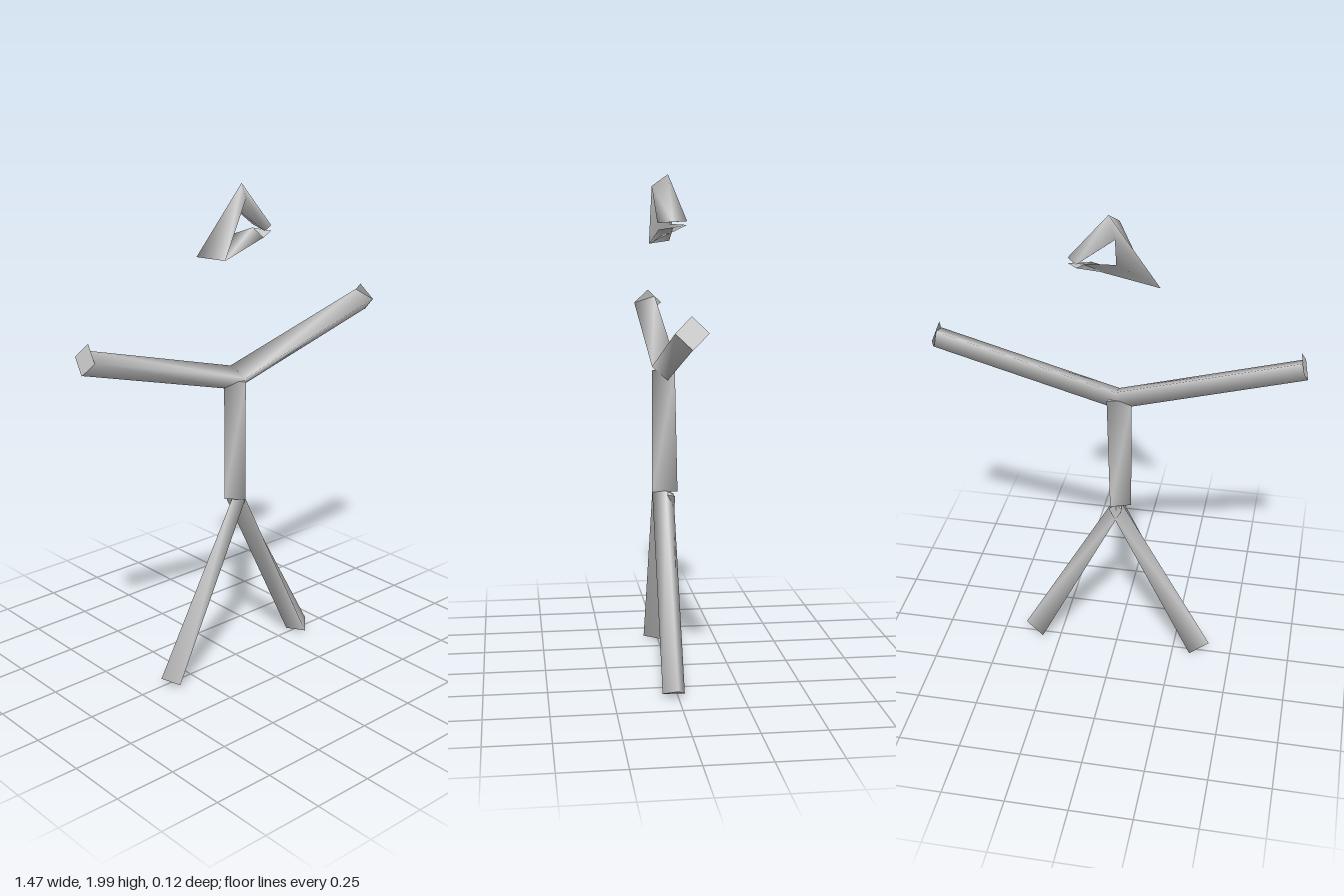
import * as THREE from 'three';

const grey = new THREE.MeshStandardMaterial({ color: 0xcccccc });
grey.name = 'light grey';
const greySheet = new THREE.MeshStandardMaterial({ color: 0xcccccc, side: THREE.DoubleSide });
greySheet.name = 'light grey sheet';

// Smooth three-sided bar through triangular rings, with flat end caps
function bar(name, rings) {
  const first = rings[0], last = rings[rings.length - 1];
  const points = [...rings.flat(), ...first, ...last];
  const index = [];
  for (let r = 0; r < rings.length - 1; r++) {
    for (let i = 0; i < 3; i++) {
      const a = r * 3 + i, b = r * 3 + (i + 1) % 3;
      index.push(a, b, a + 3, b, b + 3, a + 3);
    }
  }
  const c = rings.length * 3;
  index.push(c, c + 2, c + 1, c + 3, c + 4, c + 5);

  // Turn the faces outward, also for mirrored bars
  const v = points.map(p => new THREE.Vector3(...p));
  let volume = 0;
  for (let t = 0; t < index.length; t += 3) {
    volume += v[index[t]].dot(v[index[t + 1]].clone().cross(v[index[t + 2]]));
  }
  if (volume < 0) index.reverse();

  const geometry = new THREE.BufferGeometry().setFromPoints(v);
  geometry.setIndex(index);
  geometry.computeVertexNormals();
  const mesh = new THREE.Mesh(geometry, grey);
  mesh.name = name;
  return mesh;
}

export function createModel() {
  const figure = new THREE.Group();
  figure.name = 'stickFigure';

  // Torso, as [x, y, z] corners: front, left edge, back
  figure.add(bar('torso', [
    [[0, 0.737, 0.06], [-0.06, 0.737, 0], [0.02, 0.745, -0.04]],
    [[0, 1.235, 0.06], [-0.06, 1.235, 0], [0.035, 1.235, -0.027]],
  ]));

  for (const [side, s] of [['left', 1], ['right', -1]]) {
    // Arm: section is [offset across the arm, z], mitred at the shoulders
    const shoulder = 1.25, hand = [0.715, 1.45];
    const angle = Math.atan2(hand[1] - shoulder, hand[0]);
    const cos = Math.cos(angle), sin = Math.sin(angle);
    const armSection = [[0, 0.06], [-0.058, 0], [0.03, -0.031]];
    figure.add(bar(side + 'Arm', [
      armSection.map(([n, z]) => [0, shoulder + n / cos, z]),
      armSection.map(([n, z]) => [s * (hand[0] - n * sin), hand[1] + n * cos, z]),
    ]));

    // Square plate closing the arm
    const plate = new THREE.Mesh(new THREE.CircleGeometry(0.06, 4), greySheet);
    plate.name = side + 'HandPlate';
    plate.position.set(s * (hand[0] + 0.002 * cos), hand[1] + 0.002 * sin, 0);
    plate.lookAt(s * (hand[0] + cos), hand[1] + sin, 0);
    figure.add(plate);

    // Leg: narrow at the hip, wider at the foot
    const hip = [0, 0.74], foot = [0.353, 0.02];
    const lean = Math.atan2(foot[0], hip[1] - foot[1]);
    const ring = ([x, y], section) => section.map(([n, z]) =>
      [s * (x + n * Math.cos(lean)), y + n * Math.sin(lean), z]);
    figure.add(bar(side + 'Leg', [
      ring(hip, [[0, 0.06], [0.016, 0.005], [-0.03, -0.03]]),
      ring(foot, [[0, 0.06], [0.059, 0.005], [-0.03, -0.03]]),
    ]));
  }

  // Head: bent triangular loop with a small gap at its left corner
  figure.add(bar('head', [
    [[0.105, 1.815, 0.05], [0.185, 1.82, 0], [0.14, 1.822, -0.06]],
    [[0, 1.955, 0.06], [0.03, 2, 0], [0, 1.92, -0.035]],
    [[-0.105, 1.73, 0.06], [-0.17, 1.74, -0.03], [0, 1.81, -0.01]],
    [[0.105, 1.79, 0.045], [0.185, 1.798, 0], [0.14, 1.808, -0.06]],
  ]));

  return figure;
}
